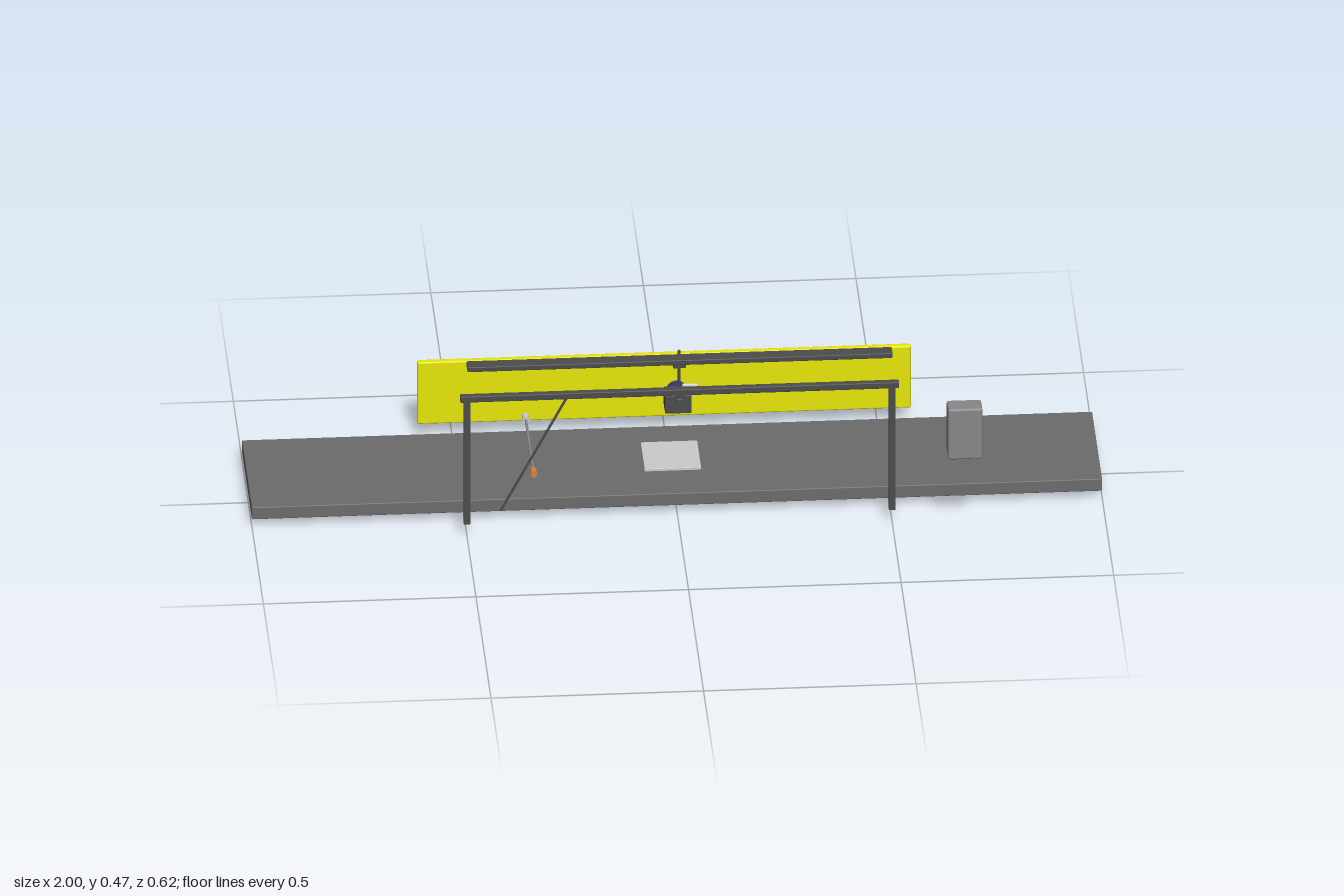
import * as THREE from 'three';
import { RoundedBoxGeometry } from 'three/addons/geometries/RoundedBoxGeometry.js';

const mat = (color) => new THREE.MeshStandardMaterial({ color });
const DARK = mat(0x4c4c4c), BELT = mat(0x6c6c6c), GREY = mat(0x888888), LIGHT = mat(0xbcbcbc);
const YELLOW = mat(0xe6e60a), ORANGE = mat(0xd9803a), BLUE = mat(0x3a3a78);

export function createModel() {
  const model = new THREE.Group();

  const add = (name, geometry, material, parent = model) => {
    const mesh = new THREE.Mesh(geometry, material);
    mesh.name = name;
    parent.add(mesh);
    return mesh;
  };

  // Softly bevelled block given by its extents on each axis
  const block = (name, [x0, x1], [y0, y1], [z0, z1], material, bevel = 0.002, parent = model) => {
    const geometry = new RoundedBoxGeometry(x1 - x0, y1 - y0, z1 - z0, 2, bevel);
    const mesh = add(name, geometry, material, parent);
    mesh.position.set((x0 + x1) / 2, (y0 + y1) / 2, (z0 + z1) / 2);
    return mesh;
  };

  // Round bar between two points
  const rod = (name, from, to, radius, material, parent = model) => {
    const a = new THREE.Vector3(...from), b = new THREE.Vector3(...to);
    const dir = b.clone().sub(a);
    const mesh = add(name, new THREE.CylinderGeometry(radius, radius, dir.length(), 24), material, parent);
    mesh.position.copy(a).add(b).multiplyScalar(0.5);
    mesh.quaternion.setFromUnitVectors(new THREE.Vector3(0, 1, 0), dir.normalize());
    return mesh;
  };

  // Conveyor bed and the rollers under it
  block('conveyorBed', [-1, 1], [0.018, 0.05], [-0.216, 0.117], BELT);
  for (let i = 0; i < 7; i++) {
    const x = -0.837 + i * 0.2995;
    rod('roller', [x, 0.009, -0.15], [x, 0.009, 0.05], 0.009, DARK);
  }

  // Work plate floating over the bed
  block('plate', [-0.069, 0.064], [0.056, 0.063], [-0.116, 0.017], LIGHT, 0.001);

  // Back panel
  block('backPanel', [-0.582, 0.579], [0.035, 0.2], [-0.307, -0.291], YELLOW, 0.004);

  // Gantry in front of the bed
  const gantry = new THREE.Group();
  gantry.name = 'gantry';
  model.add(gantry);
  for (const s of [-1, 1]) {
    block('post', [s * 0.5 - 0.008, s * 0.5 + 0.008], [0.035, 0.365], [0.193, 0.209], DARK, 0.002, gantry);
  }
  block('crossBeam', [-0.516, 0.516], [0.36, 0.376], [0.193, 0.209], DARK, 0.002, gantry);
  block('lightBar', [-0.5, 0.5], [0.446, 0.459], [0.185, 0.218], DARK, 0.002, gantry);

  // Camera hanging from the bar
  const camera = new THREE.Group();
  camera.name = 'cameraUnit';
  model.add(camera);
  block('clamp', [-0.015, 0.015], [0.428, 0.444], [0.168, 0.2], DARK, 0.002, camera);
  rod('hangerRod', [0, 0.33, 0.184], [0, 0.468, 0.184], 0.003, DARK, camera);
  block('mount', [-0.008, 0.008], [0.328, 0.342], [0.172, 0.195], DARK, 0.002, camera);
  block('cameraBody', [-0.032, 0.03], [0.294, 0.342], [0.126, 0.175], DARK, 0.002, camera);
  rod('lens', [0, 0.318, 0.1], [0, 0.318, 0.128], 0.024, BLUE, camera);
  rod('sideKnob', [0.01, 0.356, 0.151], [0.047, 0.356, 0.151], 0.004, LIGHT, camera);

  // Slanted guide arm on the front edge of the bed
  rod('guideArm', [-0.414, 0.022, 0.117], [-0.258, 0.318, 0.117], 0.003, DARK);

  // Pusher with a coloured tip and a pale end cap
  rod('pusherRod', [-0.335, 0.102, -0.175], [-0.335, 0.102, 0.075], 0.003, GREY);
  rod('pusherTip', [-0.335, 0.102, 0.072], [-0.335, 0.102, 0.097], 0.008, ORANGE);
  rod('pusherCap', [-0.335, 0.102, -0.195], [-0.335, 0.102, -0.171], 0.008, LIGHT);

  // Control cabinet
  block('controlCabinet', [0.624, 0.705], [0.218, 0.352], [0.26, 0.309], GREY, 0.005);

  return model;
}
